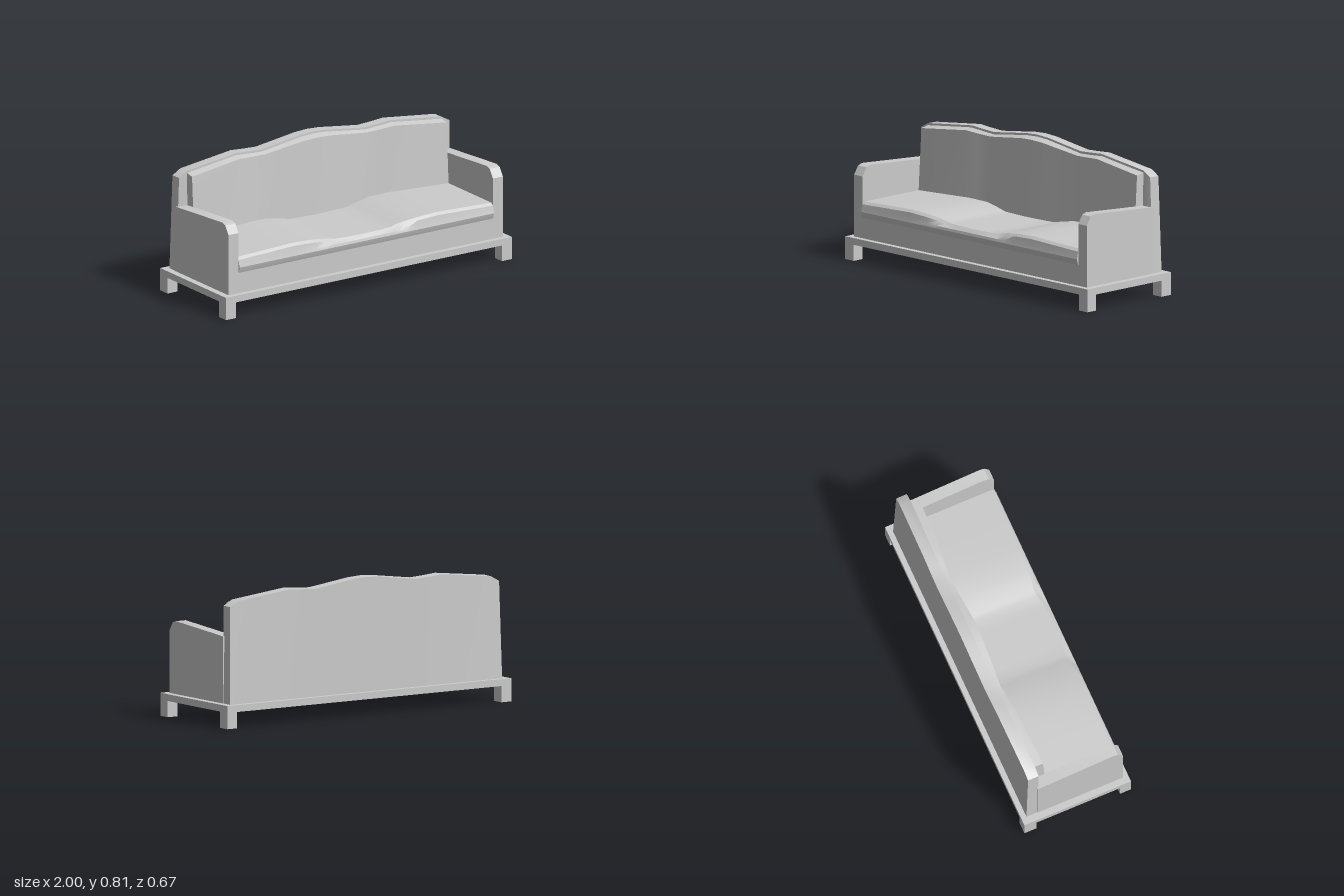
import * as THREE from 'three';
import { toCreasedNormals } from 'three/addons/utils/BufferGeometryUtils.js';

const material = new THREE.MeshStandardMaterial({ color: 0xcccccc });

// Piecewise-linear lookup in [[position, value], ...]
function lerpTable(table, t) {
  for (let i = 1; i < table.length; i++) {
    const [a, va] = table[i - 1], [b, vb] = table[i];
    if (t <= b) return va + (vb - va) * (t - a) / (b - a);
  }
  return table[table.length - 1][1];
}

// Solid swept along x; section(x) gives [z, y] corners: front-bottom, back-bottom, back-top, front-top
function loft(name, xs, section, taper = 0) {
  const rings = xs.map(x => section(x).map(([z, y]) => [x * (1 - taper * (y - 0.135)), y, z]));
  const n = rings[0].length, last = rings.length - 1, index = [];
  for (let i = 0; i < last; i++) {
    for (let j = 0; j < n; j++) {
      const a = i * n + j, b = i * n + (j + 1) % n;
      index.push(a, b, a + n, b, b + n, a + n);
    }
  }
  for (let k = 1; k < n - 1; k++) {
    index.push(0, k + 1, k);
    index.push(last * n, last * n + k, last * n + k + 1);
  }
  const geo = new THREE.BufferGeometry();
  geo.setAttribute('position', new THREE.Float32BufferAttribute(rings.flat(2), 3));
  geo.setIndex(index);
  const mesh = new THREE.Mesh(toCreasedNormals(geo, 0.5), material);
  mesh.name = name;
  return mesh;
}

function box(name, x0, x1, y0, y1, z0, z1) {
  const mesh = new THREE.Mesh(new THREE.BoxGeometry(x1 - x0, y1 - y0, z1 - z0), material);
  mesh.position.set((x0 + x1) / 2, (y0 + y1) / 2, (z0 + z1) / 2);
  mesh.name = name;
  return mesh;
}

// Mirror a list of positive stations about x = 0
const mirrored = half => [...half.map(x => -x).reverse(), 0, ...half];

// Serpentine top line of the back, by distance from the middle
const crest = [[0, 0.805], [0.09, 0.8], [0.2, 0.785], [0.36, 0.764], [0.45, 0.769],
  [0.54, 0.776], [0.9, 0.735], [0.955, 0.703]];
// Seat height and its upper front edge
const seatTop = [[0, 0.328], [0.2, 0.328], [0.28, 0.345], [0.36, 0.358], [0.5, 0.364], [0.89, 0.35]];
const seatEdge = [[0, 0.298], [0.12, 0.295], [0.23, 0.278], [0.36, 0.297], [0.89, 0.297]];
// Front of the back cushion along its top edge
const cushionEdge = [[0, -0.187], [0.36, -0.208], [0.54, -0.19], [0.89, -0.172]];

export function createModel() {
  const group = new THREE.Group();

  // Plinth and legs
  group.add(box('plinth', -1, 1, 0.095, 0.135, -0.337, 0.335));
  for (const s of [-1, 1]) {
    const [x0, x1] = s > 0 ? [0.93, 1] : [-1, -0.93];
    group.add(box('frontLeg', x0, x1, 0, 0.095, 0.265, 0.335));
    group.add(box('backLeg', x0, x1, 0, 0.095, -0.337, -0.262));
  }

  // Arms with a chamfered front corner
  for (const [name, x0, x1] of [['rightArm', -0.96, -0.89], ['leftArm', 0.89, 0.96]]) {
    group.add(loft(name, [x0, x1], () => [[0.302, 0.135], [-0.237, 0.135], [-0.237, 0.527],
      [0.24, 0.56], [0.27, 0.55], [0.302, 0.5]]));
  }

  // Body under the seat
  group.add(box('seatBase', -0.89, 0.89, 0.135, 0.265, -0.25, 0.302));

  // Seat cushion with rolled front
  group.add(loft('seatCushion', mirrored([0.12, 0.2, 0.23, 0.28, 0.36, 0.5, 0.7, 0.89]), x => {
    const d = Math.abs(x), y = lerpTable(seatTop, d), z = lerpTable(seatEdge, d);
    return [[0.3, 0.253], [-0.22, 0.253], [-0.22, y], [z - 0.012, y], [z + 0.006, y - 0.014],
      [0.31, 0.308], [0.314, 0.293], [0.308, 0.272]];
  }));

  // Back panel, slightly bowed at its ends
  group.add(loft('backPanel', mirrored([0.09, 0.2, 0.36, 0.45, 0.54, 0.9, 0.957]), x => {
    const d = Math.abs(x), y = lerpTable(crest, d), bow = 0.015 * (d / 0.957) ** 2;
    return [[d > 0.92 ? -0.235 : -0.208, 0.135], [-0.305, 0.135], [-0.305 + bow, y - 0.002],
      [-0.238 + bow, y]];
  }, 0.02));

  // Back cushion leaning on the panel
  group.add(loft('backCushion', mirrored([0.09, 0.2, 0.36, 0.45, 0.54, 0.89]), x => {
    const d = Math.abs(x), y = lerpTable(crest, d), z = lerpTable(cushionEdge, d);
    return [[z + 0.025, 0.3], [-0.22, 0.3], [-0.245, y - 0.01], [z, y - 0.023]];
  }));

  return group;
}
